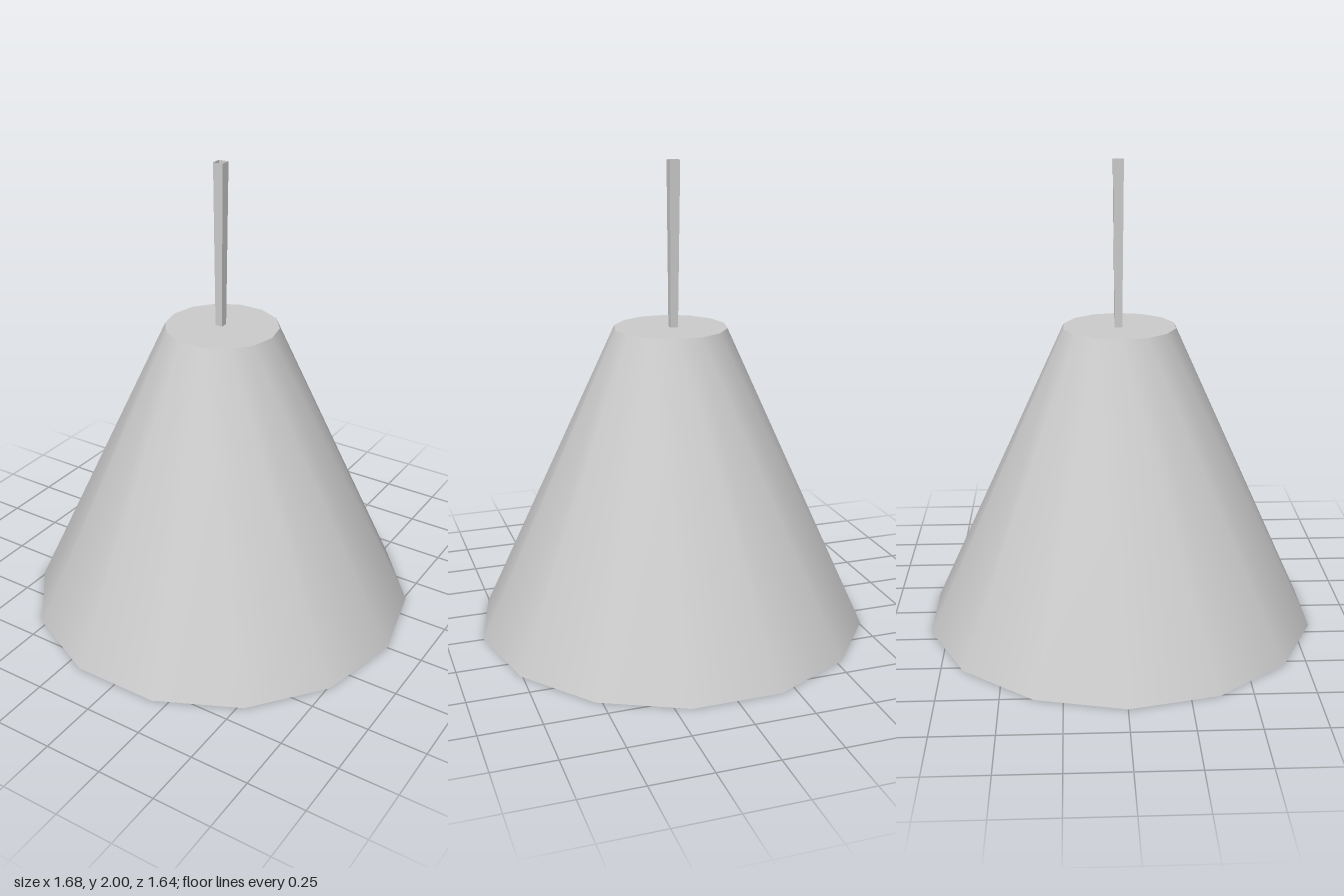
import * as THREE from 'three';
import { toCreasedNormals } from 'three/addons/utils/BufferGeometryUtils.js';

const SIDES = 14;

export function createModel() {
  const group = new THREE.Group();
  const material = new THREE.MeshStandardMaterial({ color: 0xcccccc, side: THREE.DoubleSide });

  // Hollow shade: inner ceiling, inner wall, bottom rim, outer wall, top cap
  const profile = [
    [0, 1.295], [0.228, 1.295], [0.824, 0], [0.842, 0], [0.24, 1.31], [0, 1.31],
  ].map(([r, y]) => new THREE.Vector2(r, y));
  const shadeGeometry = new THREE.LatheGeometry(profile, SIDES, Math.PI / 2);
  const shade = new THREE.Mesh(toCreasedNormals(shadeGeometry, 0.6), material);
  shade.name = 'shade';
  group.add(shade);

  // Thin square hanging rod, open at the ends and wider at the top
  const rodGeometry = new THREE.CylinderGeometry(
    0.022 * Math.SQRT2, 0.016 * Math.SQRT2, 0.69, 4, 1, true, Math.PI / 4);
  const rod = new THREE.Mesh(toCreasedNormals(rodGeometry, 0.6), material);
  rod.name = 'hangingRod';
  rod.position.set(-0.01, 1.655, -0.005);
  group.add(rod);

  return group;
}
